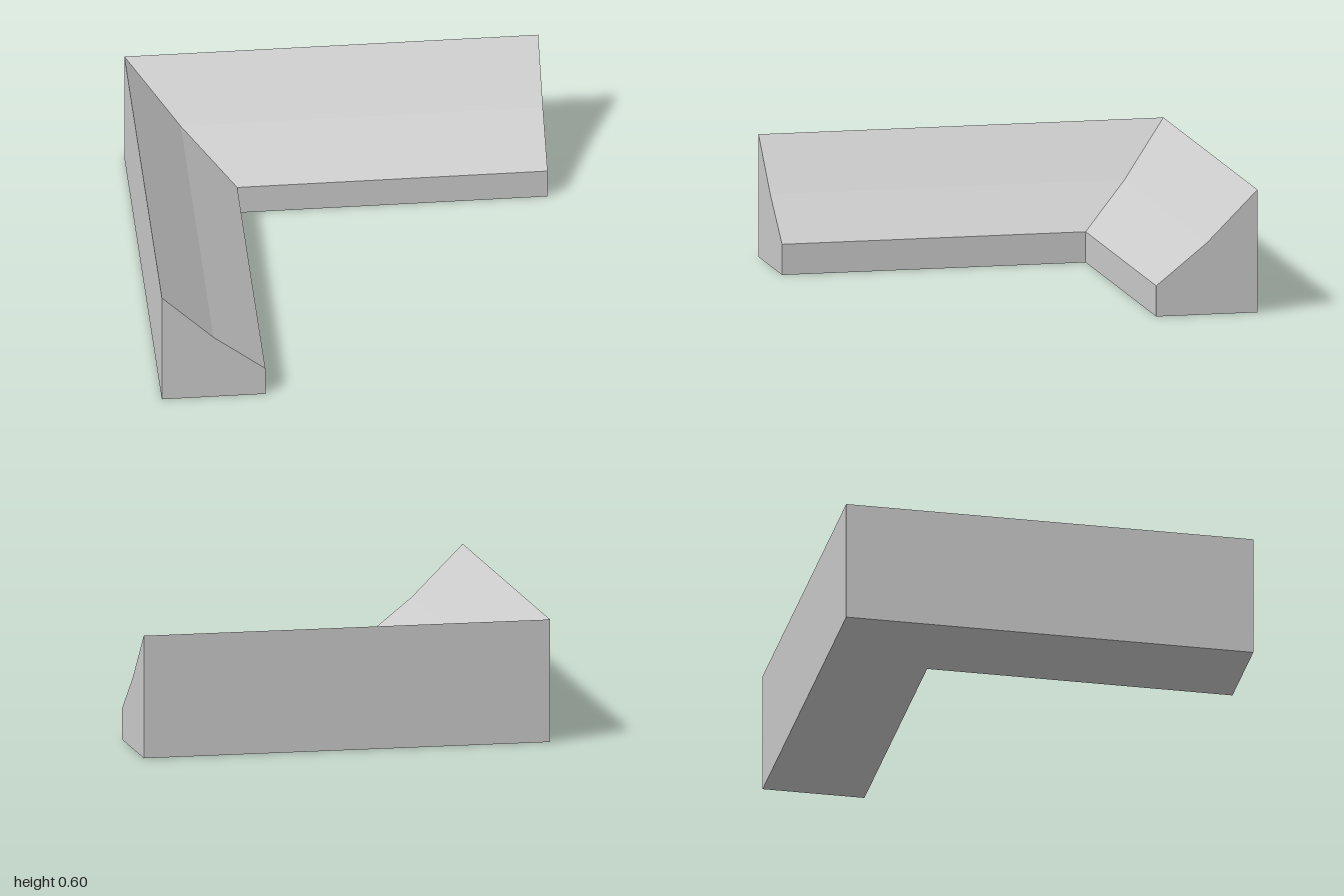
import * as THREE from 'three';

// Wall section, counter-clockwise: [distance from the outer wall, height]
const PROFILE = [[0, 0], [0.5, 0], [0.5, 0.15], [0.25, 0.35], [0, 0.6]];

// Sections along the L: front end, mitred corner, far end
const SECTIONS = [
  ([d, y]) => [-1 + d, y, 1],
  ([d, y]) => [-1 + d, y, -1 + d],
  ([d, y]) => [1, y, -1 + d],
];

function sweepGeometry() {
  const rings = SECTIONS.map((place) => PROFILE.map(place));
  const n = PROFILE.length;
  const positions = [];
  const tri = (a, b, c) => positions.push(...a, ...b, ...c);

  // Sides between neighbouring sections
  for (let s = 0; s < rings.length - 1; s++) {
    for (let i = 0; i < n; i++) {
      const j = (i + 1) % n;
      const [p, q] = [rings[s], rings[s + 1]];
      tri(p[i], q[i], p[j]);
      tri(p[j], q[i], q[j]);
    }
  }

  // End caps
  const first = rings[0];
  const last = rings[rings.length - 1];
  for (let i = 1; i < n - 1; i++) {
    tri(first[0], first[i], first[i + 1]);
    tri(last[0], last[i + 1], last[i]);
  }

  const geometry = new THREE.BufferGeometry();
  geometry.setAttribute('position', new THREE.Float32BufferAttribute(positions, 3));
  geometry.computeVertexNormals();
  return geometry;
}

export function createModel() {
  const group = new THREE.Group();
  group.name = 'cornerSlope';
  const material = new THREE.MeshStandardMaterial({ color: 0xcccccc, flatShading: true });
  const bank = new THREE.Mesh(sweepGeometry(), material);
  bank.name = 'slopedCornerBank';
  group.add(bank);
  return group;
}
